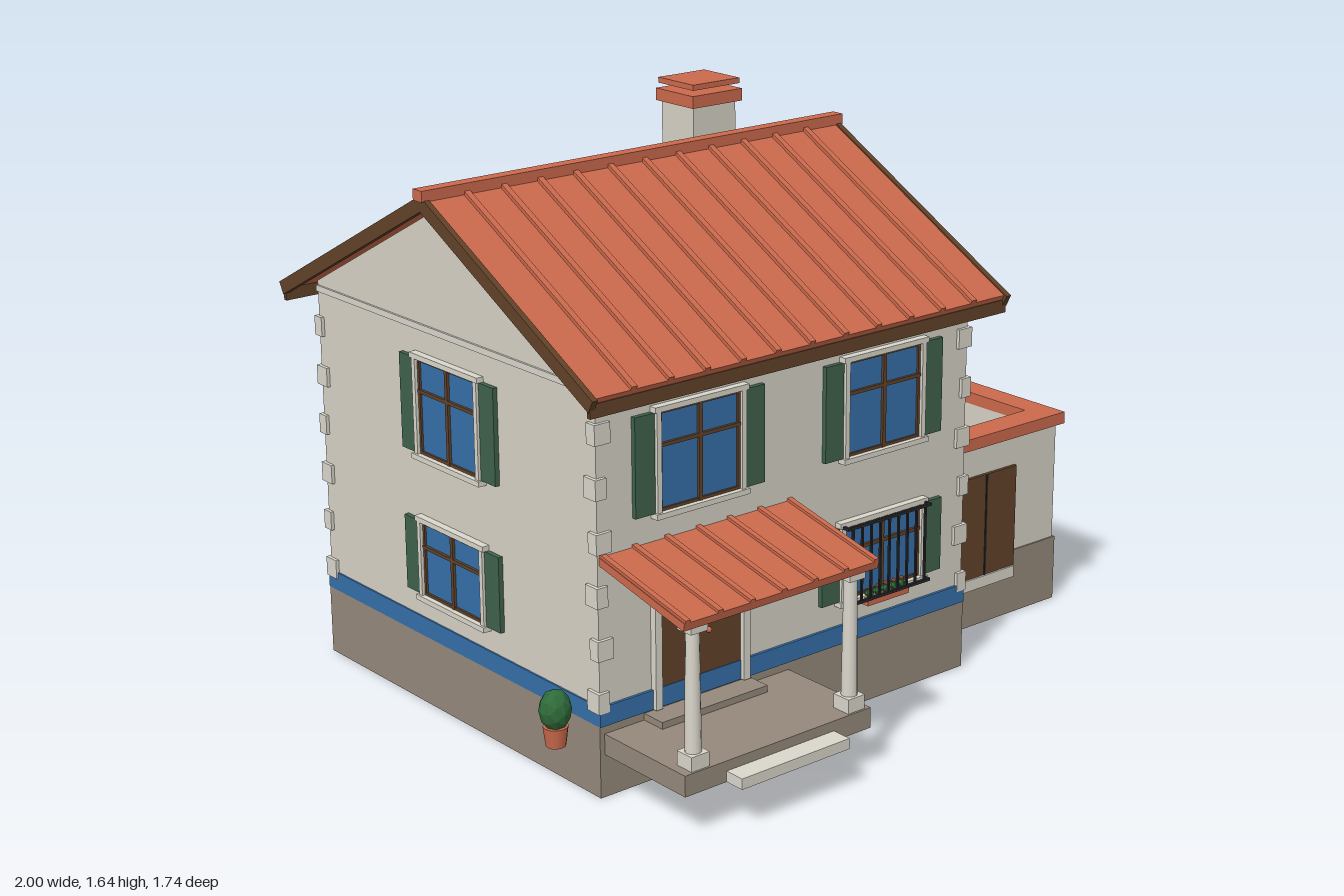
import * as THREE from 'three';

const mat = (name, color, flatShading = false) => {
  const m = new THREE.MeshStandardMaterial({ color, flatShading });
  m.name = name;
  return m;
};

export function createModel() {
  const wall = mat('plaster', 0xd6d1c5), trim = mat('trim stone', 0xdad6cb);
  const stone = mat('base stone', 0x94887b), tile = mat('terracotta', 0xcb694c);
  const blue = mat('blue', 0x356fa8), wood = mat('dark wood', 0x614229);
  const shutterGreen = mat('shutter green', 0x3f614c), leaf = mat('foliage', 0x2f6b3a, true);
  const iron = mat('iron', 0x26272b);
  const root = new THREE.Group();
  root.name = 'house';

  const group = (name, parent = root, x = 0, y = 0, z = 0) => {
    const g = new THREE.Group();
    g.name = name;
    g.position.set(x, y, z);
    parent.add(g);
    return g;
  };
  const add = (name, geo, m, parent = root, x = 0, y = 0, z = 0) => {
    const mesh = new THREE.Mesh(geo, m);
    mesh.name = name;
    mesh.position.set(x, y, z);
    parent.add(mesh);
    return mesh;
  };
  // Box given by its limits on each axis
  const box = (name, m, x0, x1, y0, y1, z0, z1, parent = root) =>
    add(name, new THREE.BoxGeometry(x1 - x0, y1 - y0, z1 - z0), m, parent,
      (x0 + x1) / 2, (y0 + y1) / 2, (z0 + z1) / 2);

  // Main house: base, painted band and gabled walls
  box('houseBase', stone, -0.905, 0.405, 0, 0.2, -0.79, 0.485);
  box('paintedBand', blue, -0.905, 0.405, 0.2, 0.255, -0.793, 0.488);
  const section = new THREE.Shape([[-0.48, 0.2], [0.785, 0.2], [0.785, 1.12], [0.15, 1.455], [-0.48, 1.12]]
    .map(p => new THREE.Vector2(...p)));
  const walls = new THREE.ExtrudeGeometry(section, { depth: 1.3, bevelEnabled: false });
  walls.rotateY(Math.PI / 2);
  add('houseWalls', walls, wall, root, -0.9);
  for (const x of [-0.9, 0.4]) box('gableCourse', trim, x - 0.006, x + 0.006, 1.09, 1.108, -0.785, 0.48);

  // Corner stones
  for (const [x, sx] of [[-0.9, 1], [0.4, -1]])
    for (const [z, sz] of [[-0.785, 1], [0.48, -1]])
      for (let i = 0; i < 6; i++) {
        const a = i % 2 ? 0.05 : 0.035, b = i % 2 ? 0.035 : 0.05;
        add('cornerStone', new THREE.BoxGeometry(a, 0.056, b), trim, root,
          x + sx * (a / 2 - 0.01), 0.265 + i * 0.145, z + sz * (b / 2 - 0.01));
      }

  // Roof: two ribbed slopes with verge boards and eaves boards
  const roof = group('roof', root, -0.2475, 1.487, -0.15);
  for (const turn of [0, Math.PI]) {
    const slope = group('roofSlope', roof);
    slope.rotation.set(0.486, turn, 0, 'YXZ');
    box('roofTiles', tile, -0.715, 0.715, -0.022, 0, 0, 0.8, slope);
    for (let i = -5; i <= 5; i++)
      box('roofRib', tile, i * 0.118 - 0.009, i * 0.118 + 0.009, 0, 0.01, 0, 0.8, slope);
    for (const s of [-1, 1])
      box('vergeBoard', wood, s * 0.7175 - 0.0085, s * 0.7175 + 0.0085, -0.034, 0.004, 0, 0.81, slope);
    const eaves = group('eaves', roof);
    eaves.rotation.y = turn;
    box('eavesBoard', wood, -0.722, 0.722, -0.425, -0.388, 0.69, 0.703, eaves);
  }
  box('ridgeCap', tile, -0.98, 0.485, 1.478, 1.508, -0.17, -0.13);

  // Chimney
  box('chimneyStack', wall, 0.02, 0.175, 1.3, 1.57, -0.385, -0.245);
  box('chimneyCap', tile, 0.01, 0.192, 1.57, 1.605, -0.4, -0.235);
  box('chimneyTopSlab', tile, 0.016, 0.186, 1.62, 1.636, -0.396, -0.24);

  // Window facing +z, centred on its glass
  const makeWindow = (x, y, z, turn, w, h, { shutters = false, cross = true, grid = 0.16 } = {}) => {
    const g = group('window', root, x, y, z);
    g.rotation.y = turn;
    const a = w / 2, b = h / 2, t = 0.015;
    box('glass', blue, -a, a, -b, b, 0, 0.005, g);
    box('sill', trim, -a - 0.022, a + 0.022, -b - t, -b, 0, 0.026, g);
    box('lintel', trim, -a - 0.022, a + 0.022, b, b + t, 0, 0.022, g);
    for (const s of [-1, 1]) {
      box('jamb', trim, s * (a + t / 2) - t / 2, s * (a + t / 2) + t / 2, -b, b, 0, 0.02, g);
      if (shutters) {
        const c = s * (a + 0.05);
        box('shutter', shutterGreen, c - 0.032, c + 0.032, -b, b, 0, 0.014, g);
      }
      if (cross) {
        box('sashStile', wood, s * (a - 0.004) - 0.004, s * (a - 0.004) + 0.004, -b, b, 0.004, 0.011, g);
        box('sashRail', wood, -a, a, s * (b - 0.004) - 0.004, s * (b - 0.004) + 0.004, 0.004, 0.011, g);
      }
    }
    if (cross) {
      box('mullion', wood, -0.006, 0.006, -b, b, 0.004, 0.013, g);
      box('transom', wood, -a, a, h * grid - 0.005, h * grid + 0.005, 0.004, 0.013, g);
    }
    return g;
  };
  const side = Math.PI / 2;
  makeWindow(-0.57, 0.877, 0.48, 0, 0.268, 0.27, { shutters: true });
  makeWindow(0.077, 0.877, 0.48, 0, 0.268, 0.27, { shutters: true });
  makeWindow(-0.9, 0.877, -0.15, -side, 0.268, 0.27, { shutters: true });
  makeWindow(-0.9, 0.437, -0.15, -side, 0.275, 0.215, { shutters: true });
  makeWindow(0.4, 0.87, -0.148, side, 0.305, 0.25, { cross: false });
  makeWindow(0.4, 0.437, -0.148, side, 0.305, 0.215);
  const barred = makeWindow(0.077, 0.437, 0.48, 0, 0.285, 0.215, { shutters: true });

  // Iron window cage
  for (const y of [-0.113, 0.11]) {
    box('cageRail', iron, -0.157, 0.157, y - 0.004, y + 0.004, 0.036, 0.044, barred);
    for (const x of [-0.153, 0.153]) box('cageArm', iron, x - 0.004, x + 0.004, y - 0.004, y + 0.004, 0, 0.042, barred);
  }
  for (let i = -4; i <= 4; i++)
    box('cageBar', iron, i * 0.034 - 0.003, i * 0.034 + 0.003, -0.113, 0.11, 0.037, 0.043, barred);

  // Flower box
  box('flowerBox', tile, 0, 0.155, 0.303, 0.325, 0.487, 0.52);
  for (let i = 0; i < 5; i++) {
    const x = 0.018 + i * 0.03;
    add('flowerLeaves', new THREE.IcosahedronGeometry(0.014), leaf, root, x, 0.333, 0.505);
    add('flower', new THREE.IcosahedronGeometry(0.007), tile, root, x, 0.35, 0.508);
  }

  // Front door
  box('frontDoor', wood, -0.71, -0.43, 0.2, 0.537, 0.478, 0.486);
  for (const x of [-0.72, -0.42]) box('doorJamb', trim, x - 0.011, x + 0.011, 0.2, 0.537, 0.478, 0.5);
  box('doorLintel', trim, -0.735, -0.405, 0.535, 0.55, 0.478, 0.503);
  box('doorWindow', iron, -0.603, -0.537, 0.415, 0.482, 0.484, 0.49);
  add('doorKnob', new THREE.SphereGeometry(0.008, 10, 8), tile, root, -0.545, 0.375, 0.492);
  box('lampBracket', iron, -0.595, -0.55, 0.55, 0.562, 0.48, 0.53);
  box('lamp', trim, -0.588, -0.557, 0.52, 0.55, 0.502, 0.53);

  // Porch floor and steps
  box('porchFloor', stone, -0.89, -0.26, 0.12, 0.178, 0.48, 0.81);
  box('doorStep', stone, -0.76, -0.4, 0.178, 0.197, 0.48, 0.56);
  box('porchStep', trim, -0.755, -0.39, 0.12, 0.15, 0.81, 0.87);

  // Porch columns
  for (const x of [-0.835, -0.305]) {
    const col = group('porchColumn', root, x, 0, 0.775);
    box('columnBase', trim, -0.029, 0.029, 0.178, 0.218, -0.029, 0.029, col);
    add('columnShaft', new THREE.CylinderGeometry(0.018, 0.022, 0.33, 14), trim, col, 0, 0.383);
    box('columnCapital', trim, -0.027, 0.027, 0.545, 0.567, -0.027, 0.027, col);
  }
  box('porchBeam', wood, -0.875, -0.262, 0.565, 0.58, 0.758, 0.792);

  // Porch roof
  const porchRoof = group('porchRoof', root, -0.57, 0.663, 0.478);
  porchRoof.rotation.x = 0.214;
  box('porchTiles', tile, -0.325, 0.325, -0.022, 0, 0, 0.348, porchRoof);
  for (let i = -3; i <= 3; i++)
    box('porchRib', tile, i * 0.105 - 0.008, i * 0.105 + 0.008, 0, 0.008, 0, 0.348, porchRoof);

  // Yard: base, floor, three walls and their coping
  box('yardBase', stone, 0.4, 0.987, 0, 0.2, -0.735, 0.297);
  box('yardFloor', trim, 0.4, 0.93, 0.198, 0.206, -0.67, 0.23);
  box('yardFrontWall', wall, 0.4, 0.98, 0.2, 0.565, 0.23, 0.292);
  box('yardBackWall', wall, 0.4, 0.98, 0.2, 0.565, -0.73, -0.67);
  box('yardSideWall', wall, 0.92, 0.98, 0.2, 0.565, -0.68, 0.24);
  box('frontCoping', tile, 0.405, 1, 0.562, 0.598, 0.22, 0.308);
  box('backCoping', tile, 0.405, 1, 0.562, 0.598, -0.745, -0.662);
  box('sideCoping', tile, 0.92, 1, 0.562, 0.598, -0.67, 0.23);

  // Yard gate
  box('gate', wood, 0.555, 0.805, 0.155, 0.472, 0.29, 0.302);
  box('gateSplit', iron, 0.677, 0.683, 0.155, 0.472, 0.3, 0.305);
  box('gateSill', trim, 0.555, 0.8, 0.12, 0.155, 0.29, 0.308);

  // Yard tree
  const tree = group('yardTree', root, 0.73, 0, -0.23);
  add('treeTrunk', new THREE.CylinderGeometry(0.02, 0.03, 0.36, 8), wood, tree, 0, 0.38);
  for (const [x, y, z, r] of [[0.005, 0.6, 0, 0.175], [-0.1, 0.56, -0.06, 0.11], [0.09, 0.57, -0.06, 0.11],
    [0.03, 0.55, 0.08, 0.1]]) {
    const ball = add('treeFoliage', new THREE.IcosahedronGeometry(r, 1), leaf, tree, x, y, z);
    ball.rotation.set(r * 9, r * 17, 0);
  }

  // Potted shrub by the left wall
  const pot = group('pottedShrub', root, -0.957, 0, 0.365);
  add('pot', new THREE.CylinderGeometry(0.034, 0.027, 0.055, 12), tile, pot, 0, 0.152);
  add('shrub', new THREE.IcosahedronGeometry(0.044, 1), leaf, pot, 0, 0.225).scale.y = 1.3;
  return root;
}
